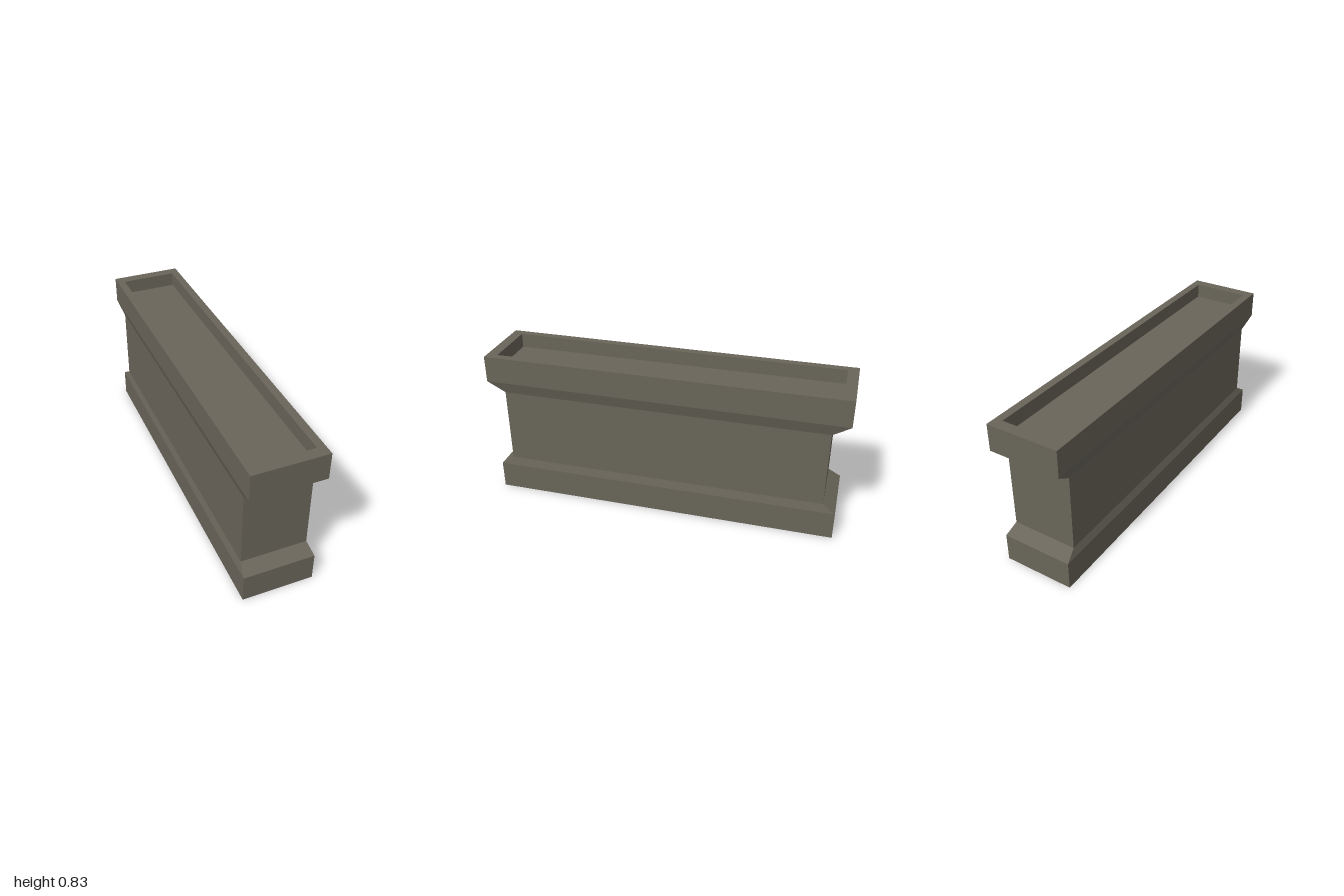
import * as THREE from 'three';

// Joins rectangular sections [y, length, width] in order; ends can be closed.
function loftRects(sections, { startCap = false, endCap = false } = {}) {
  const positions = [];
  const index = [];
  for (const [y, length, width] of sections) {
    const x = length / 2, z = width / 2;
    positions.push(-x, y, z, x, y, z, x, y, -z, -x, y, -z);
  }
  for (let s = 0; s < sections.length - 1; s++) {
    for (let i = 0; i < 4; i++) {
      const a = s * 4 + i, b = s * 4 + (i + 1) % 4;
      index.push(a, b, b + 4, a, b + 4, a + 4);
    }
  }
  if (startCap) index.push(0, 2, 1, 0, 3, 2);
  if (endCap) {
    const e = (sections.length - 1) * 4;
    index.push(e, e + 1, e + 2, e, e + 2, e + 3);
  }
  const indexed = new THREE.BufferGeometry();
  indexed.setAttribute('position', new THREE.Float32BufferAttribute(positions, 3));
  indexed.setIndex(index);
  const geometry = indexed.toNonIndexed();
  geometry.computeVertexNormals();
  return geometry;
}

export function createModel() {
  const stone = new THREE.MeshStandardMaterial({ color: 0x69655a, flatShading: true });
  stone.name = 'weathered stone';

  const wall = new THREE.Group();
  wall.name = 'stoneWall';
  const add = (name, sections, caps) => {
    const mesh = new THREE.Mesh(loftRects(sections, caps), stone);
    mesh.name = name;
    wall.add(mesh);
  };

  // Plinth with a chamfered upper edge
  add('plinth', [[0, 1.928, 0.386], [0.155, 1.928, 0.386], [0.2, 1.792, 0.358]], { startCap: true });

  // Straight middle section
  add('shaft', [[0.2, 1.792, 0.358], [0.623, 1.792, 0.358]]);

  // Flared coping, flat rim and inner walls of the recess
  add('coping', [
    [0.623, 1.792, 0.358],
    [0.688, 1.98, 0.396],
    [0.835, 1.98, 0.396],
    [0.835, 1.862, 0.31],
    [0.755, 1.862, 0.31],
  ]);

  // Sunken top panel
  add('recessFloor', [[0.755, 1.862, 0.31]], { endCap: true });

  // The wall stands at an angle to the axes
  wall.rotation.y = THREE.MathUtils.degToRad(-18.8);

  const model = new THREE.Group();
  model.name = 'model';
  model.add(wall);
  return model;
}
